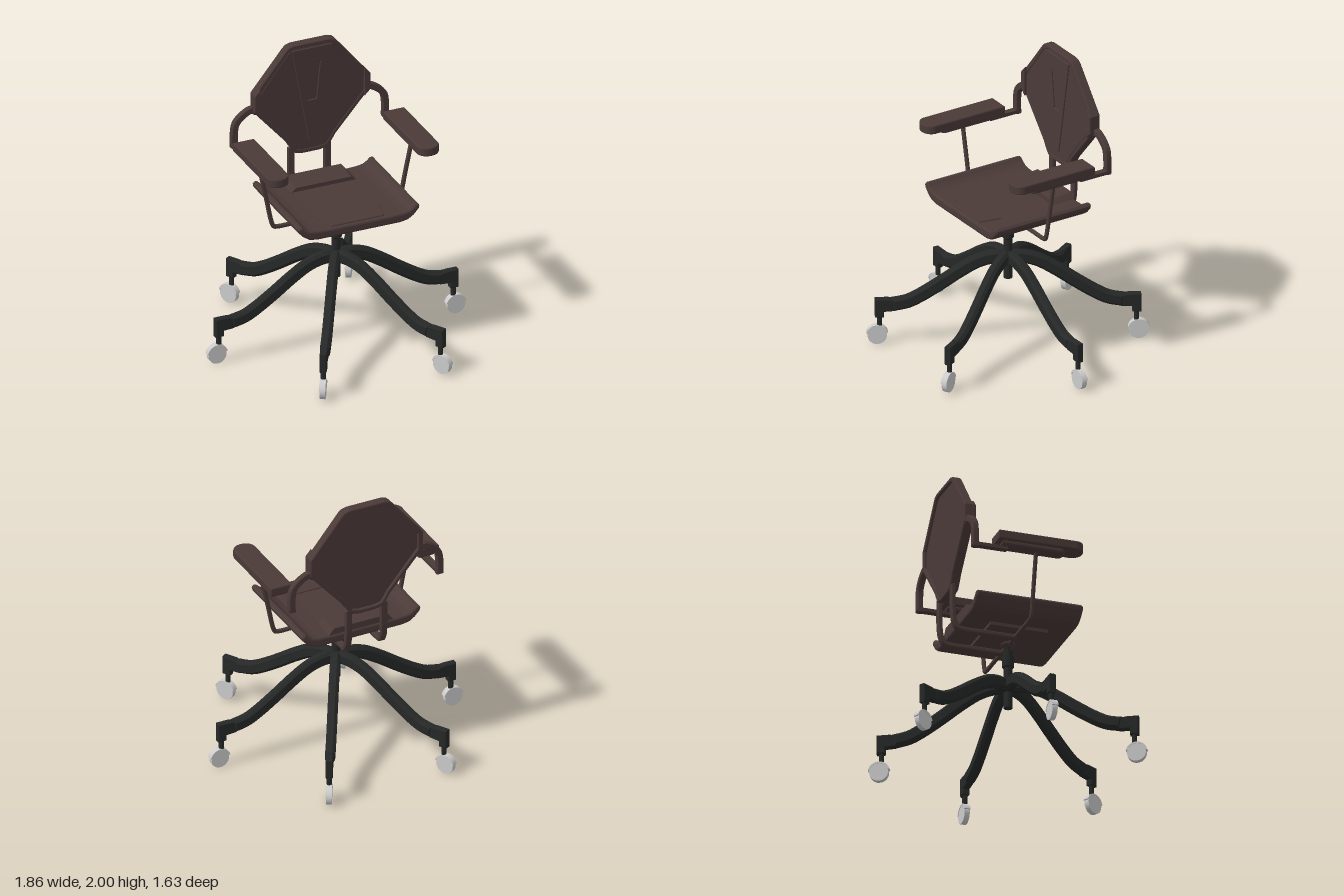
import * as THREE from 'three';

const brown = new THREE.MeshStandardMaterial({ color: 0x4a3a38 });
const black = new THREE.MeshStandardMaterial({ color: 0x262828 });
const grey = new THREE.MeshStandardMaterial({ color: 0xcccccc });

function add(parent, name, geometry, material, x = 0, y = 0, z = 0) {
  const mesh = new THREE.Mesh(geometry, material);
  mesh.name = name;
  mesh.position.set(x, y, z);
  parent.add(mesh);
  return mesh;
}

const shapeOf = (pts) => new THREE.Shape(pts.map(([x, y]) => new THREE.Vector2(x, y)));
const mirrored = (pts) => [...pts, ...pts.map(([x, y]) => [-x, y]).reverse()];
const box = (w, h, d) => new THREE.BoxGeometry(w, h, d);
const cyl = (rTop, rBottom, h, n = 20) => new THREE.CylinderGeometry(rTop, rBottom, h, n);

// Extrusion centred on z = 0 that keeps its outline when bevelled
function slab(shape, depth, bevel = 0, segments = 1) {
  return new THREE.ExtrudeGeometry(shape, {
    depth: depth - 2 * bevel, bevelEnabled: bevel > 0, bevelThickness: bevel,
    bevelSize: bevel, bevelOffset: -bevel, bevelSegments: segments, curveSegments: 12,
  }).translate(0, 0, bevel - depth / 2);
}

// Bar of constant height following a smooth path in the xy plane
function bar(pts, height, depth, bevel, steps = 30) {
  const curve = new THREE.CatmullRomCurve3(pts.map(([x, y]) => new THREE.Vector3(x, y, 0)), false, 'centripetal');
  const upper = [], lower = [];
  for (let i = 0; i <= steps; i++) {
    const p = curve.getPoint(i / steps), t = curve.getTangent(i / steps);
    upper.push([p.x - t.y * height / 2, p.y + t.x * height / 2]);
    lower.push([p.x + t.y * height / 2, p.y - t.x * height / 2]);
  }
  return slab(shapeOf([...lower, ...upper.reverse()]), depth, bevel);
}

function createBase() {
  const base = new THREE.Group();
  base.name = 'base';
  const path = [[0, 0.615], [0.1, 0.613], [0.2, 0.585], [0.32, 0.515], [0.45, 0.425], [0.58, 0.342], [0.66, 0.303], [0.76, 0.283]];
  for (let i = 0; i < 6; i++) {
    const leg = new THREE.Group();
    leg.name = 'leg';
    leg.rotation.y = i * Math.PI / 3;
    add(leg, 'legBeam', bar(path, 0.09, 0.066, 0.018), black);
    // Elbow end and caster stem
    const elbow = shapeOf([[0.74, 0.24], [0.815, 0.235], [0.815, 0.195], [0.873, 0.195], [0.873, 0.328], [0.785, 0.328], [0.74, 0.318]]);
    add(leg, 'legEnd', slab(elbow, 0.048, 0.006), black);
    add(leg, 'casterStem', cyl(0.017, 0.017, 0.09, 12), black, 0.843, 0.16);
    // Wheel with a hood over its top
    add(leg, 'casterWheel', cyl(0.064, 0.064, 0.036, 24), grey, 0.858, 0.066).rotation.x = Math.PI / 2;
    const hood = new THREE.Shape();
    hood.absarc(0, 0, 0.073, 0.2, 2.9, false);
    hood.absarc(0, 0, 0.062, 2.9, 0.2, true);
    add(leg, 'casterHood', slab(hood, 0.042), grey, 0.858, 0.066);
    base.add(leg);
  }
  // Gas column
  const column = [[0, 0.46], [0.03, 0.46], [0.03, 0.745], [0.039, 0.755], [0.039, 0.83], [0.03, 0.835], [0.03, 0.87],
    [0.014, 0.875], [0.014, 0.955], [0, 0.955]].map(([x, y]) => new THREE.Vector2(x, y));
  const post = new THREE.LatheGeometry(column, 16).toNonIndexed();
  post.computeVertexNormals();
  add(base, 'column', post, black);
  const collar = add(base, 'columnCollar', new THREE.SphereGeometry(0.05, 20, 10), brown, 0, 0.915);
  collar.scale.y = 0.35;
  return base;
}

function createSeat() {
  const seat = new THREE.Group();
  seat.name = 'seat';
  // Cross-section with curled-up sides
  const half = [[0.3, 0.962], [0.355, 0.972], [0.395, 0.998], [0.432, 1.038], [0.437, 1.06], [0.425, 1.075],
    [0.405, 1.075], [0.385, 1.055], [0.355, 1.037], [0.315, 1.03], [0.22, 1.026]];
  add(seat, 'seatCushion', slab(shapeOf(mirrored(half)), 0.742, 0.016, 3), brown);
  // Raised rear pad, thickest at the back edge
  const pad = box(0.48, 0.05, 0.165);
  const pos = pad.attributes.position;
  for (let i = 0; i < pos.count; i++) {
    if (pos.getY(i) < 0) continue;
    pos.setX(i, pos.getX(i) * 0.83);
    if (pos.getZ(i) > 0) pos.setY(i, 0.01);
  }
  pad.computeVertexNormals();
  add(seat, 'rearPad', pad, brown, 0, 1.044, -0.28);
  // Shallow front pad
  const front = shapeOf(mirrored([[0.22, -0.075], [0.19, 0.075]]));
  add(seat, 'frontPad', slab(front, 0.012, 0.004).rotateX(Math.PI / 2), brown, 0, 1.029, 0.27);
  add(seat, 'seatPlate', box(0.44, 0.024, 0.4), brown, 0, 0.952);
  return seat;
}

function createBackrest() {
  const back = new THREE.Group();
  back.name = 'backrest';
  const outline = mirrored([[0.06, 1.192], [0.115, 1.203], [0.15, 1.25], [0.17, 1.285], [0.415, 1.565],
    [0.415, 1.69], [0.185, 1.972], [0.165, 1.99], [0.13, 2.0]]);
  const inner = outline.map(([x, y]) => [x * 0.9, 1.6 + (y - 1.6) * 0.925]);
  // Rim around a recessed panel
  const rim = shapeOf(outline);
  rim.holes.push(shapeOf(inner));
  add(back, 'backRim', slab(rim, 0.064, 0.006), brown, 0, 0, -0.418);
  add(back, 'backPanel', slab(shapeOf(inner), 0.045), brown, 0, 0, -0.4095);
  // Tapering centre ornament with an inset
  const vee = shapeOf(mirrored([[0.022, 1.28], [0.145, 1.965]]));
  vee.holes.push(shapeOf(mirrored([[0.032, 1.58], [0.06, 1.85]])));
  add(back, 'centreTaper', slab(vee, 0.012, 0.003), brown, 0, 0, -0.384);
  for (const s of [-1, 1]) {
    const wing = shapeOf([[0.375, 1.53], [0.417, 1.57], [0.417, 1.69], [0.375, 1.735]].map(([x, y]) => [x * s, y]));
    add(back, 'sideWing', slab(wing, 0.03, 0.005), brown, 0, 0, -0.385);
    // Upright that bends forward below the seat
    const upright = bar([[0, 0.914], [0.2, 0.914], [0.35, 0.914], [0.395, 0.922], [0.42, 0.965], [0.43, 1.04], [0.431, 1.15], [0.431, 1.23]], 0.03, 0.048, 0.006);
    add(back, 'backUpright', upright.rotateY(Math.PI / 2), brown, s * 0.13);
  }
  return back;
}

function createArms() {
  const arms = new THREE.Group();
  arms.name = 'arms';
  // Frame under the seat carrying both armrests
  const side = [[0.3, 0.915], [0.42, 0.915], [0.448, 0.922], [0.463, 0.955], [0.5, 1.13], [0.545, 1.345]];
  const frame = [...side.map(([x, y]) => [-x, y]).reverse(), ...side];
  add(arms, 'armFrame', bar(frame, 0.028, 0.024, 0.006, 90), brown);
  // Pad outline: square behind, round in front
  const padShape = (w, back, front, r) => {
    const s = new THREE.Shape();
    s.moveTo(-w, -back);
    s.lineTo(w, -back);
    s.lineTo(w, front - r);
    s.absellipse(0, front - r, w, r, 0, Math.PI, false);
    s.lineTo(-w, -back);
    return s;
  };
  for (const s of [-1, 1]) {
    const arm = new THREE.Group();
    arm.name = s > 0 ? 'leftArm' : 'rightArm';
    add(arm, 'armPad', slab(padShape(0.076, 0.278, 0.325, 0.065), 0.062, 0.008, 2).rotateX(Math.PI / 2), brown, s * 0.54, 1.411);
    add(arm, 'armPadBase', slab(padShape(0.054, 0.245, 0.2, 0.04), 0.034, 0.01).rotateX(Math.PI / 2), brown, s * 0.54, 1.367);
    // Bracket joining the armrest to the backrest
    const path = [[0.385, 1.555], [0.42, 1.575], [0.49, 1.54], [0.53, 1.495], [0.542, 1.44], [0.543, 1.325]];
    add(arm, 'armBracket', bar(path.map(([x, y]) => [x * s, y]), 0.046, 0.042, 0.006), brown, 0, 0, -0.423);
    add(arm, 'armBracketFoot', box(0.046, 0.024, 0.24), brown, s * 0.543, 1.341, -0.322);
    arms.add(arm);
  }
  return arms;
}

export function createModel() {
  const chair = new THREE.Group();
  chair.name = 'swivelChair';
  chair.add(createBase(), createSeat(), createBackrest(), createArms());
  return chair;
}
